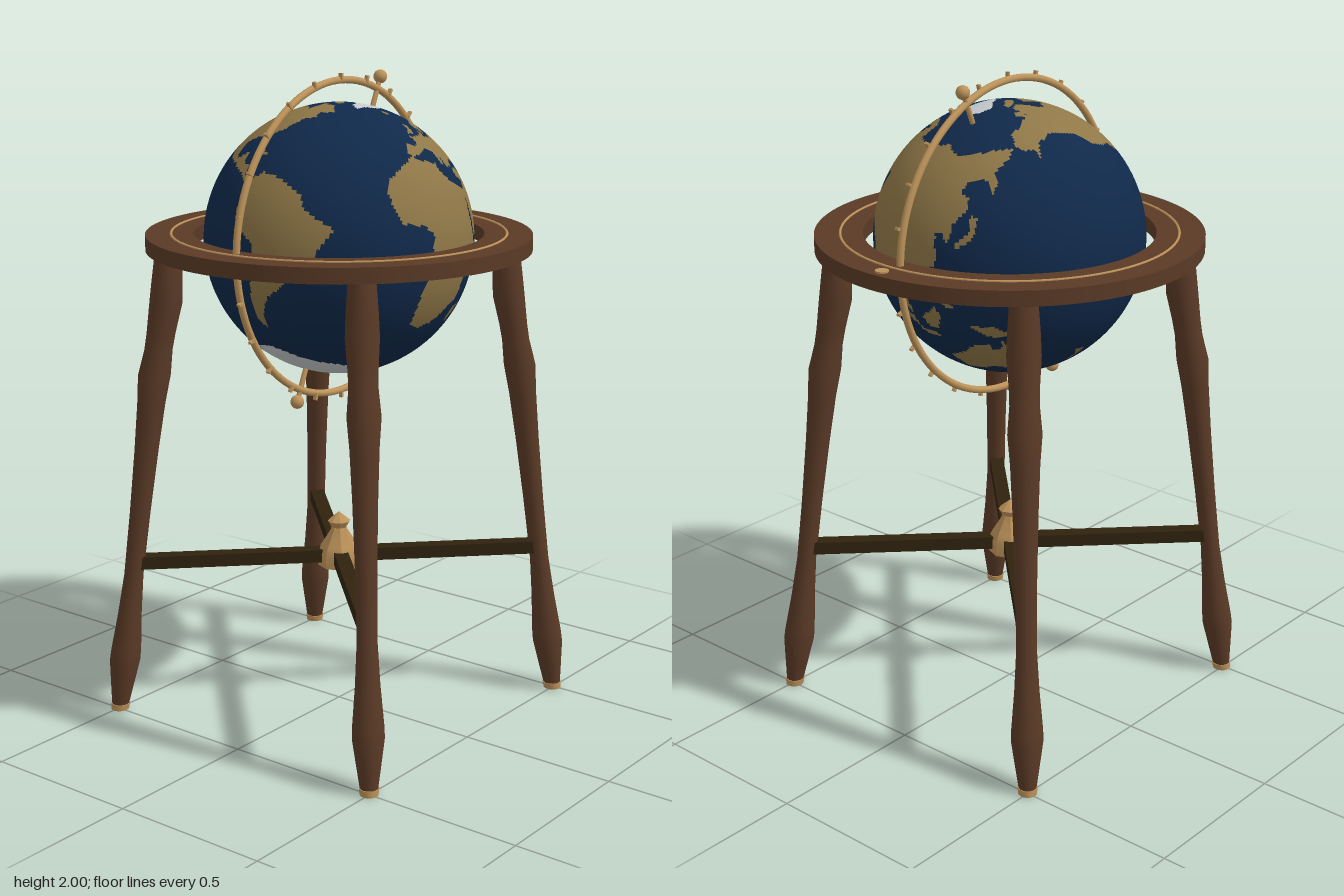
import * as THREE from 'three';
import { toCreasedNormals } from 'three/addons/utils/BufferGeometryUtils.js';

const material = (name, color) => {
  const m = new THREE.MeshStandardMaterial({ color });
  m.name = name;
  return m;
};

// Coastlines as lon, lat pairs
const LAND = {
  northAmerica: [-168, 66, -156, 71, -128, 70, -110, 68, -95, 72, -82, 68, -94, 60, -92, 57, -82, 55, -79, 52, -77, 62, -70, 60,
    -64, 60, -56, 52, -66, 49, -64, 45, -70, 43, -76, 35, -81, 31, -80, 25, -83, 29, -90, 30, -97, 27, -97, 20, -94, 18, -90, 21,
    -87, 21, -88, 16, -83, 15, -83, 10, -78, 9, -81, 7, -86, 11, -95, 16, -105, 20, -113, 31, -117, 33, -124, 40, -124, 48,
    -134, 58, -150, 60, -162, 55, -158, 59, -165, 62],
  southAmerica: [-78, 8, -72, 12, -62, 10, -51, 4, -50, 0, -44, -3, -35, -6, -39, -14, -41, -22, -48, -27, -54, -34, -62, -39,
    -65, -44, -68, -50, -67, -55, -73, -52, -74, -42, -71, -30, -70, -18, -76, -14, -81, -6, -80, 1, -77, 4],
  africa: [-17, 21, -17, 14, -13, 8, -8, 4, 2, 6, 9, 4, 9, -1, 13, -6, 12, -17, 15, -27, 18, -34, 26, -34, 32, -28, 35, -22,
    40, -15, 39, -6, 44, 2, 51, 11, 43, 12, 37, 20, 33, 29, 34, 31, 20, 31, 11, 34, 10, 37, -2, 35, -6, 36, -10, 31],
  europe: [-9, 37, -9, 43, -2, 43, -1, 46, -5, 48, 2, 51, 8, 54, 8, 57, 11, 56, 11, 54, 20, 55, 22, 59, 29, 60, 22, 61, 25, 65,
    21, 65, 17, 61, 15, 56, 10, 59, 6, 58, 5, 62, 14, 68, 26, 71, 41, 67, 38, 64, 44, 66, 60, 69, 60, 25, 57, 26, 51, 28,
    48, 30, 51, 25, 56, 25, 59, 22, 52, 16, 44, 13, 39, 21, 33, 30, 36, 36, 28, 37, 27, 40, 35, 42, 41, 41, 38, 45, 33, 46,
    28, 44, 28, 41, 23, 40, 23, 37, 20, 40, 13, 45, 18, 40, 16, 38, 10, 44, 3, 43, 0, 39, -5, 36],
  asia: [60, 69, 68, 69, 73, 72, 82, 73, 104, 77, 113, 74, 130, 71, 150, 71, 170, 70, 190, 66, 179, 63, 163, 60, 162, 55,
    156, 51, 156, 58, 142, 59, 135, 55, 141, 52, 139, 47, 130, 42, 129, 36, 126, 35, 125, 39, 118, 39, 122, 37, 119, 35,
    122, 31, 120, 26, 114, 22, 108, 21, 106, 18, 109, 12, 105, 9, 100, 13, 103, 5, 104, 1, 101, 3, 98, 8, 98, 16, 94, 17,
    90, 22, 87, 21, 80, 15, 80, 11, 77, 8, 73, 17, 72, 21, 67, 25, 60, 25],
  australia: [114, -22, 122, -18, 130, -12, 136, -12, 136, -16, 140, -17, 142, -11, 146, -19, 153, -26, 150, -37, 144, -39,
    137, -34, 131, -31, 124, -34, 115, -34],
  britain: [-5, 50, 1, 52, -2, 58, -6, 57, -4, 54],
  iceland: [-24, 65, -18, 63, -14, 65, -19, 67],
  madagascar: [44, -24, 47, -25, 50, -15, 44, -18],
  japan: [130, 32, 136, 34, 141, 36, 145, 43, 141, 45, 139, 38, 132, 35],
  sumatra: [95, 5, 104, -1, 106, -6, 101, -3],
  java: [105, -6, 115, -7, 115, -9, 106, -8],
  borneo: [109, 1, 117, 7, 119, 4, 116, -4, 110, -3],
  newGuinea: [131, -1, 141, -3, 150, -10, 143, -9, 138, -8],
  philippines: [120, 18, 123, 18, 126, 7, 122, 8],
  newZealand: [167, -46, 173, -41, 173, -35, 178, -38, 175, -42, 170, -47],
  cuba: [-84, 22, -77, 20, -74, 20, -80, 23],
  baffin: [-88, 73, -78, 73, -62, 66, -66, 63, -75, 66, -85, 71],
  victoria: [-117, 73, -105, 73, -103, 69, -116, 69],
};
const CASPIAN = [48, 45, 53, 46, 54, 37, 50, 37];
const GREENLAND = [-68, 78, -55, 82, -30, 83, -18, 78, -24, 70, -40, 65, -44, 60, -52, 65, -54, 71];

function inside(poly, x, y) {
  let hit = false;
  for (let i = 0, j = poly.length - 2; i < poly.length; j = i, i += 2) {
    const [ax, ay, bx, by] = [poly[i], poly[i + 1], poly[j], poly[j + 1]];
    if ((ay > y) !== (by > y) && x < ((bx - ax) * (y - ay)) / (by - ay) + ax) hit = !hit;
  }
  return hit;
}

// 0 ocean, 1 land, 2 ice
function surfaceAt(lon, lat) {
  if (lat < -70 + 3 * Math.sin(lon * 0.05) || inside(GREENLAND, lon, lat)) return 2;
  if (inside(CASPIAN, lon, lat)) return 0;
  return Object.values(LAND).some(p => inside(p, lon, lat) || inside(p, lon + 360, lat)) ? 1 : 0;
}

// Sphere whose grid cells are sorted into ocean, land and ice groups
function globeGeometry(radius, cols, rows, frontLon) {
  const pos = [], faces = [[], [], []];
  for (let r = 0; r <= rows; r++) for (let c = 0; c <= cols; c++) {
    const lat = (r / rows - 0.5) * Math.PI;
    const lon = (c / cols) * 2 * Math.PI - Math.PI - THREE.MathUtils.degToRad(frontLon);
    pos.push(radius * Math.cos(lat) * Math.sin(lon), radius * Math.sin(lat), radius * Math.cos(lat) * Math.cos(lon));
  }
  for (let r = 0; r < rows; r++) for (let c = 0; c < cols; c++) {
    const list = faces[surfaceAt(((c + 0.5) / cols) * 360 - 180, ((r + 0.5) / rows) * 180 - 90)];
    const a = r * (cols + 1) + c, b = a + 1, d = a + cols + 1, e = d + 1;
    if (r > 0) list.push(a, b, e);
    if (r < rows - 1) list.push(a, e, d);
  }
  const g = new THREE.BufferGeometry();
  g.setAttribute('position', new THREE.Float32BufferAttribute(pos, 3));
  g.setAttribute('normal', new THREE.Float32BufferAttribute(pos.map(v => v / radius), 3));
  g.setIndex(faces.flat());
  let start = 0;
  faces.forEach((f, i) => { g.addGroup(start, f.length, i); start += f.length; });
  return g;
}

const lathe = (pts, sides) => new THREE.LatheGeometry(pts.map(p => new THREE.Vector2(...p)), sides);

// Distance of a leg's centre line from the stand's axis at height y
function legReach(y) {
  const path = [[0, 0.703], [1.08, 0.57], [1.32, 0.527], [1.48, 0.517]];
  let i = 0;
  while (i < path.length - 2 && y > path[i + 1][0]) i++;
  const [y0, r0] = path[i], [y1, r1] = path[i + 1];
  return r0 + ((r1 - r0) * (y - y0)) / (y1 - y0);
}

function splay(geometry) {
  const p = geometry.attributes.position;
  for (let i = 0; i < p.count; i++) p.setX(i, p.getX(i) + legReach(p.getY(i)));
  geometry.computeVertexNormals();
  return toCreasedNormals(geometry, 0.9);
}

export function createModel() {
  const wood = material('walnut', 0x5a3a26), darkWood = material('dark wood', 0x30230f);
  const brass = material('brass', 0xbd935a), ocean = material('ocean blue', 0x10294a);
  const land = material('land ochre', 0x8f7747), ice = material('ice white', 0xc6cacd);
  const model = new THREE.Group();
  model.name = 'floorGlobe';
  const add = (name, geometry, mat, parent = model) => {
    const mesh = new THREE.Mesh(geometry, mat);
    mesh.name = name;
    parent.add(mesh);
    return mesh;
  };

  // Tilted globe on its axle
  const tilted = new THREE.Group();
  tilted.name = 'tiltedGlobe';
  tilted.position.y = 1.5;
  tilted.rotation.z = -THREE.MathUtils.degToRad(23.5);
  model.add(tilted);
  add('globe', globeGeometry(0.41, 288, 144, 20), [ocean, land, ice], tilted);
  for (const s of [1, -1]) {
    add('axlePin', new THREE.CylinderGeometry(0.008, 0.008, 0.12, 10), brass, tilted).position.y = s * 0.455;
    add('axleKnob', new THREE.SphereGeometry(0.021, 16, 12), brass, tilted).position.y = s * 0.514;
  }

  // Upright meridian ring with degree studs
  const meridian = new THREE.Group();
  meridian.name = 'meridian';
  meridian.position.y = 1.5;
  model.add(meridian);
  add('meridianRing', new THREE.TorusGeometry(0.476, 0.011, 10, 96), brass, meridian);
  for (let i = 0; i < 24; i++) {
    const a = (i * Math.PI) / 12;
    const stud = add('degreeStud', new THREE.BoxGeometry(0.02, 0.008, 0.012), brass, meridian);
    stud.position.set(0.487 * Math.cos(a), 0.487 * Math.sin(a), 0.008);
    stud.rotation.z = a;
  }

  // Horizon ring with brass inlay and disc
  const ring = new THREE.Shape().absarc(0, 0, 0.586, 0, Math.PI * 2);
  ring.holes.push(new THREE.Path().absarc(0, 0, 0.44, 0, Math.PI * 2, true));
  const ringGeometry = new THREE.ExtrudeGeometry(ring, { depth: 0.047, bevelEnabled: false, curveSegments: 80 });
  add('horizonRing', toCreasedNormals(ringGeometry.rotateX(-Math.PI / 2), 0.6), wood).position.y = 1.474;
  add('horizonInlay', new THREE.TorusGeometry(0.508, 0.004, 6, 96).rotateX(Math.PI / 2), brass).position.y = 1.522;
  add('horizonDisc', new THREE.CylinderGeometry(0.02, 0.02, 0.008, 20), brass).position.set(0.55, 1.522, 0);

  // Four turned legs, brass feet and cross stretchers
  const legProfile = [[0, 0.018], [0.027, 0.018], [0.036, 0.08], [0.048, 0.165], [0.047, 0.2], [0.037, 0.32], [0.03, 0.45],
    [0.032, 0.65], [0.037, 0.85], [0.043, 1.0], [0.05, 1.09], [0.043, 1.17], [0.044, 1.22], [0.05, 1.31], [0.047, 1.38], [0.04, 1.478]];
  const legGeometry = splay(lathe(legProfile, 16));
  const footGeometry = splay(lathe([[0, 0], [0.028, 0], [0.03, 0.02], [0, 0.02]], 16));
  for (let i = 0; i < 4; i++) {
    const corner = new THREE.Group();
    corner.name = 'legAssembly';
    corner.rotation.y = Math.PI / 4 + (i * Math.PI) / 2;
    model.add(corner);
    add('leg', legGeometry, wood, corner);
    add('foot', footGeometry, brass, corner);
    add('stretcher', new THREE.BoxGeometry(0.62, 0.04, 0.045), darkWood, corner).position.set(0.335, 0.49, 0);
  }

  // Central hub with finial
  const hub = lathe([[0, 0.455], [0.066, 0.455], [0.066, 0.5], [0.058, 0.522], [0.026, 0.572], [0.024, 0.58], [0.036, 0.6], [0, 0.63]], 8);
  add('hub', toCreasedNormals(hub, 0.5), brass);
  return model;
}
